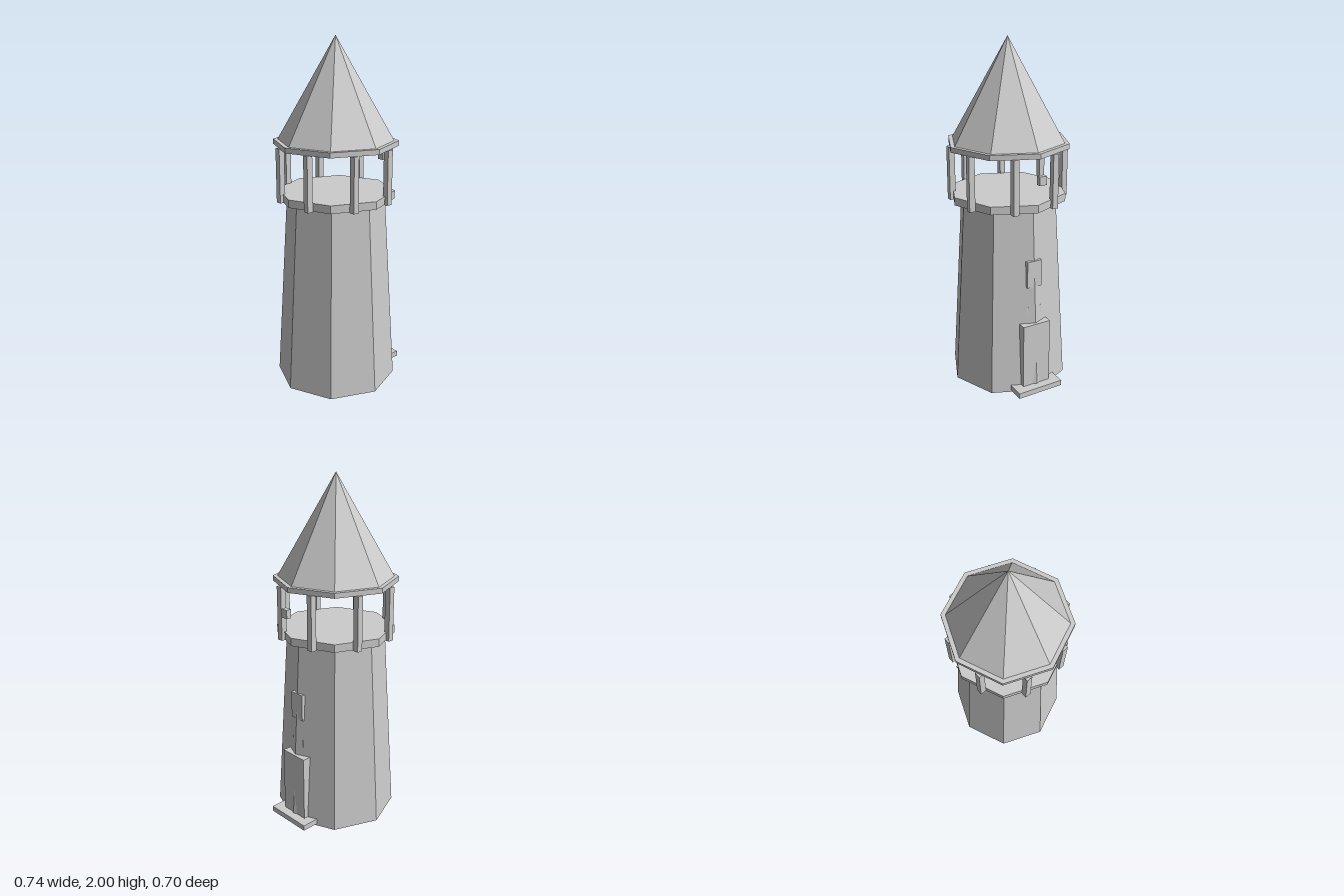
import * as THREE from 'three';

export function createModel() {
  const model = new THREE.Group();
  model.name = 'lighthouse';
  const grey = new THREE.MeshStandardMaterial({ color: 0xcccccc, flatShading: true });
  grey.name = 'light grey';
  const axisX = -0.02; // tower axis, offset by the door step

  const add = (name, geometry, x, y, z) => {
    const mesh = new THREE.Mesh(geometry, grey);
    mesh.name = name;
    mesh.position.set(x, y, z);
    model.add(mesh);
  };
  // Eight-sided frustum between two heights
  const octagon = (name, rBottom, rTop, y0, y1) =>
    add(name, new THREE.CylinderGeometry(rTop, rBottom, y1 - y0, 8), axisX, (y0 + y1) / 2, 0);
  // Box centred on z = 0, given by its x and y ranges
  const box = (name, x0, x1, y0, y1, depth) =>
    add(name, new THREE.BoxGeometry(x1 - x0, y1 - y0, depth), (x0 + x1) / 2, (y0 + y1) / 2, 0);

  // Tower, gallery and roof
  octagon('tower', 0.35, 0.28, 0, 1.12);
  octagon('galleryFloor', 0.336, 0.336, 1.1, 1.145);
  octagon('roofPlate', 0.352, 0.352, 1.403, 1.432);
  add('roof', new THREE.ConeGeometry(0.328, 0.57, 8), axisX, 1.715, 0);

  // Gallery posts at the middle of each side
  for (let i = 0; i < 8; i++) {
    const a = ((i + 0.5) * Math.PI) / 4;
    add('galleryPost', new THREE.BoxGeometry(0.034, 0.308, 0.034),
      axisX + 0.32 * Math.cos(a), 1.25, 0.32 * Math.sin(a));
  }

  // Entrance, windows and lamp on the +x side
  box('doorStep', 0.267, 0.37, 0.01, 0.042, 0.284);
  box('door', 0.267, 0.318, 0.04, 0.43, 0.174);
  box('lowerWindow', 0.26, 0.282, 0.37, 0.527, 0.09);
  box('upperWindow', 0.262, 0.285, 0.65, 0.807, 0.09);
  box('lamp', 0.33, 0.36, 1.268, 1.317, 0.042);

  return model;
}
